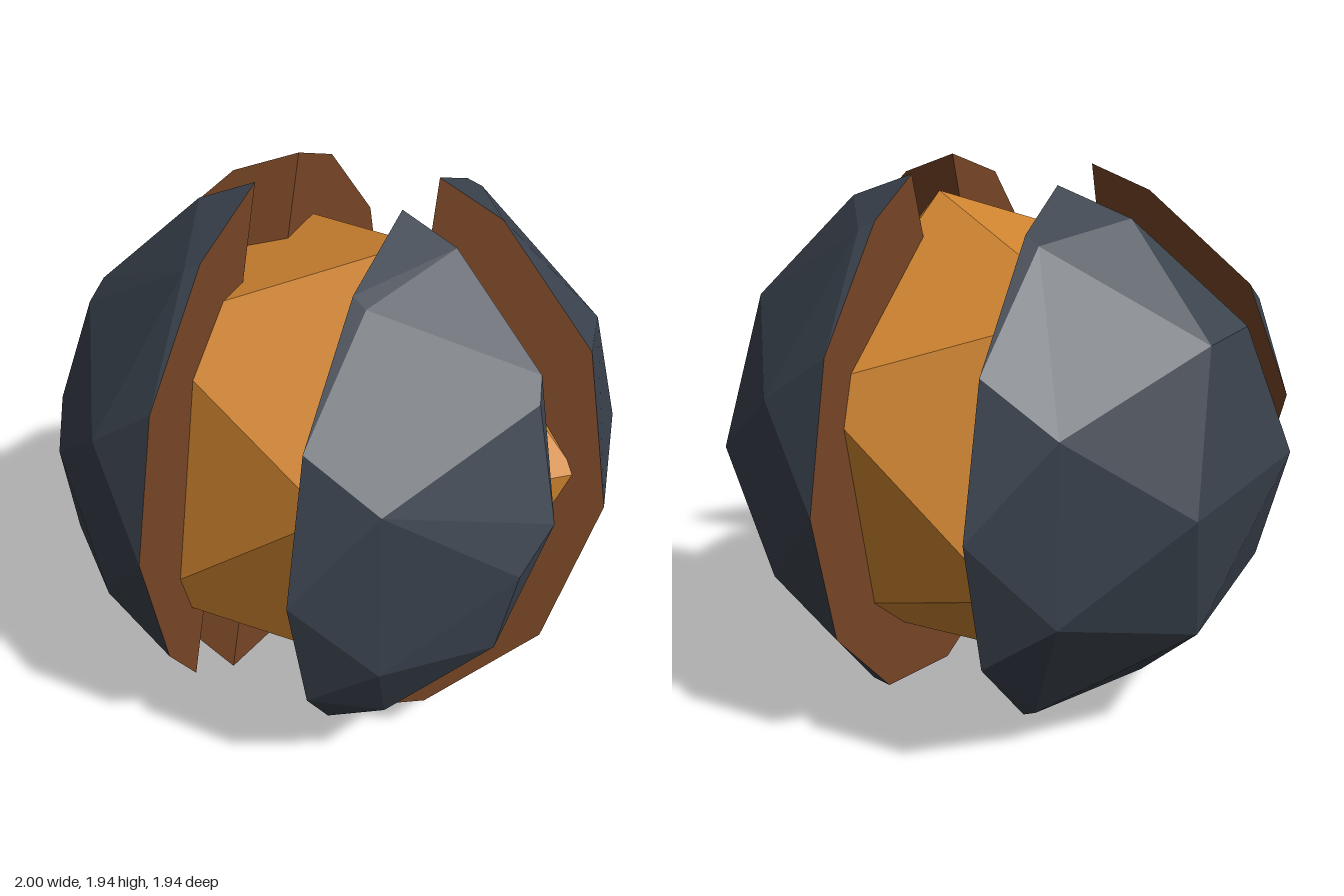
import * as THREE from 'three';
import { ConvexGeometry } from 'three/addons/geometries/ConvexGeometry.js';
import { mergeVertices } from 'three/addons/utils/BufferGeometryUtils.js';

const R = 1.006;          // shell radius
const GAP = 0.26;         // half width of the upright gap
const CENTRE = 0.971;     // height of the ball's centre
const TILT = THREE.MathUtils.degToRad(19);
const N = new THREE.Vector3(0, Math.sin(TILT), Math.cos(TILT)); // tilted gap normal
const V = new THREE.Vector3(0, Math.cos(TILT), -Math.sin(TILT)); // up along the tilted gap

const mat = (name, color) => {
  const m = new THREE.MeshStandardMaterial({ color, flatShading: true });
  m.name = name;
  return m;
};

// Corner points of the faceted ball
function ballPoints() {
  const g = new THREE.IcosahedronGeometry(R, 1);
  g.deleteAttribute('normal');
  g.deleteAttribute('uv');
  const p = mergeVertices(g, 1e-3).attributes.position;
  return Array.from({ length: p.count }, (_, i) => new THREE.Vector3().fromBufferAttribute(p, i));
}

function flatGeometry(points) {
  const g = new THREE.BufferGeometry().setFromPoints(points);
  g.computeVertexNormals();
  return g;
}

// One quarter of the shell: side = +1/-1 in x, front = +1/-1, offset of its tilted cut
function shellPiece(side, front, offset, ball, outer, inner) {
  const sideDist = (p) => p.x * side - GAP;
  const cutDist = (p) => (p.dot(N) - offset) * front;
  const points = ball.filter((p) => sideDist(p) > 0.02 && cutDist(p) > 0.02 && Math.abs(p.x) < 0.95);

  // Rims of both cuts, a point every 30 degrees
  const r1 = Math.sqrt(R * R - GAP * GAP), r2 = Math.sqrt(R * R - offset * offset);
  for (let i = 0; i < 12; i++) {
    const a = (i * Math.PI) / 6, c = Math.cos(a), s = Math.sin(a);
    const p = new THREE.Vector3(side * GAP, r1 * s, r1 * c);
    if (cutDist(p) > 0.02) points.push(p);
    const q = N.clone().multiplyScalar(offset).addScaledVector(V, r2 * s);
    q.x = r2 * c;
    if (sideDist(q) > 0.02) points.push(q);
  }
  // Tips where the two cuts meet
  const h = Math.sqrt(r2 * r2 - GAP * GAP);
  for (const s of [1, -1]) {
    const q = N.clone().multiplyScalar(offset).addScaledVector(V, s * h);
    q.x = side * GAP;
    points.push(q);
  }

  // Split the hull into outside facets and cut faces
  const pos = new ConvexGeometry(points).attributes.position;
  const skin = [], cut = [];
  for (let i = 0; i < pos.count; i += 3) {
    const tri = [0, 1, 2].map((k) => new THREE.Vector3().fromBufferAttribute(pos, i + k));
    const onCut = [sideDist, cutDist].some((d) => tri.every((p) => Math.abs(d(p)) < 1e-4));
    (onCut ? cut : skin).push(...tri);
  }
  const piece = new THREE.Group();
  const skinMesh = new THREE.Mesh(flatGeometry(skin), outer);
  skinMesh.name = 'shellOutside';
  const cutMesh = new THREE.Mesh(flatGeometry(cut), inner);
  cutMesh.name = 'shellCutFaces';
  piece.add(skinMesh, cutMesh);
  piece.name = (front > 0 ? 'front' : 'back') + (side > 0 ? 'Left' : 'Right') + 'Shell';
  return piece;
}

export function createModel() {
  const model = new THREE.Group();
  model.name = 'splitBall';
  const slate = mat('slate', 0x39414c);
  const brown = mat('brown', 0x784626);
  const amber = mat('amber', 0xd08530);

  // Core, turned so that two neighbouring corners point along a and b
  const a = new THREE.Vector3(0.324, 0.943, 0.073).normalize();
  const b = new THREE.Vector3(-0.503, 0.696, -0.511).normalize();
  const mid = a.clone().add(b).normalize();
  const along = a.clone().sub(b).normalize();
  const across = along.clone().cross(mid);
  const coreGeometry = new THREE.IcosahedronGeometry(0.897, 0);
  coreGeometry.applyMatrix4(new THREE.Matrix4().makeBasis(across, along, mid));
  const core = new THREE.Mesh(coreGeometry, amber);
  core.name = 'core';
  core.position.y = CENTRE - 0.004;
  model.add(core);

  // Four shell pieces around the core
  const ball = ballPoints();
  for (const side of [1, -1]) {
    for (const [front, offset] of [[1, 0.417], [-1, 0.105]]) {
      const piece = shellPiece(side, front, offset, ball, slate, brown);
      piece.position.y = CENTRE;
      model.add(piece);
    }
  }
  return model;
}
